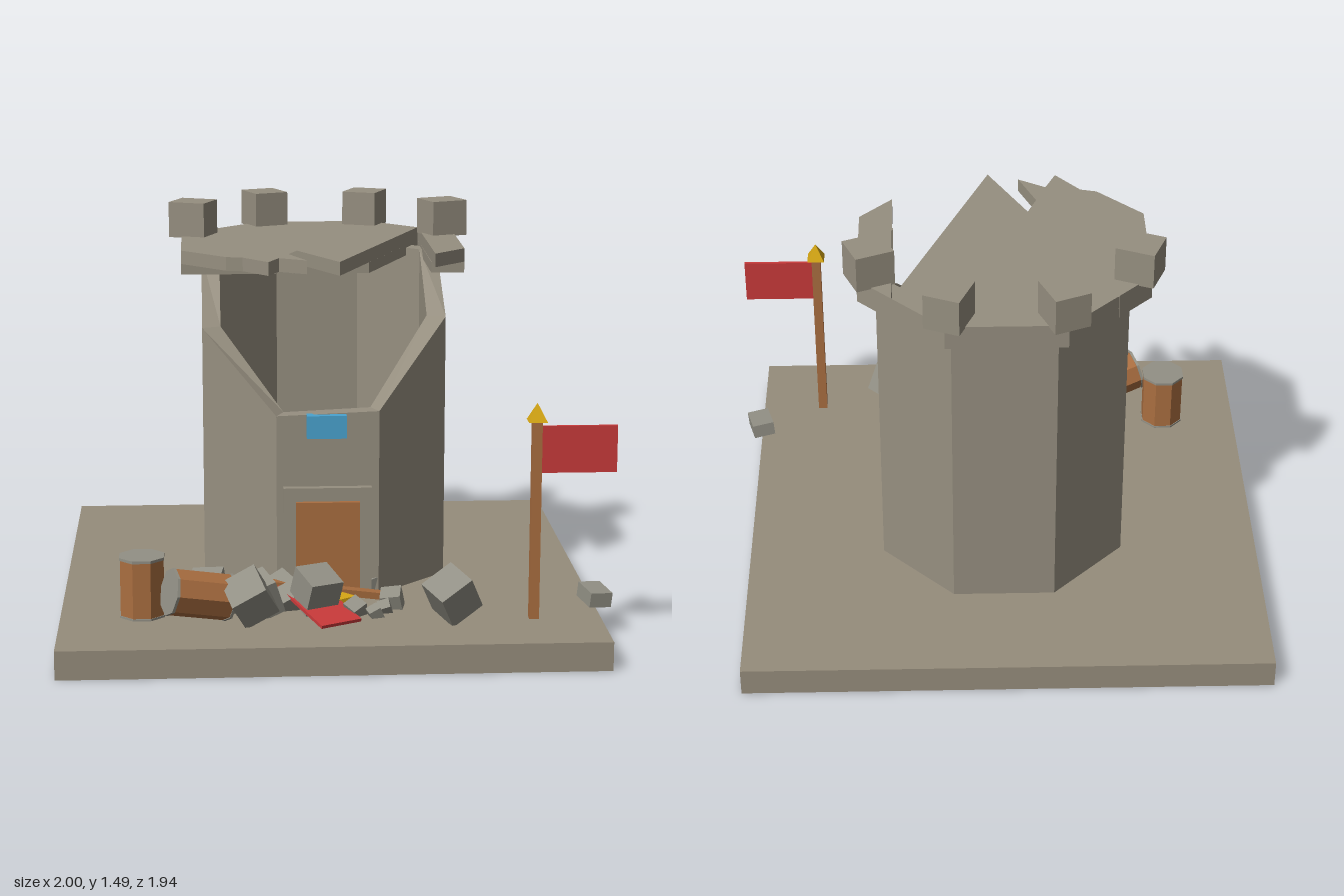
import * as THREE from 'three';

const mat = (name, color, side = THREE.FrontSide) => {
  const m = new THREE.MeshStandardMaterial({ color, side });
  m.name = name;
  return m;
};

// Faceted normals for low-poly round parts
const faceted = (g) => {
  const f = g.index ? g.toNonIndexed() : g;
  f.computeVertexNormals();
  return f;
};

const CX = -0.025, CZ = -0.1, GROUND = 0.105;

// Broken octagonal wall: every corner has its own height
function wallGeometry(heights, outer, inner) {
  const pos = [];
  const n = heights.length;
  const point = (k, r, y) => {
    const a = ((k % n) + 0.5) / n * Math.PI * 2;
    return [CX + r * Math.sin(a), y, CZ + r * Math.cos(a)];
  };
  const quad = (a, b, c, d) => pos.push(...a, ...b, ...c, ...a, ...c, ...d);
  for (let k = 0; k < n; k++) {
    const h0 = heights[k], h1 = heights[(k + 1) % n];
    const o0 = point(k, outer, h0), o1 = point(k + 1, outer, h1);
    const i0 = point(k, inner, h0), i1 = point(k + 1, inner, h1);
    quad(point(k, outer, GROUND), point(k + 1, outer, GROUND), o1, o0);
    quad(point(k + 1, inner, GROUND), point(k, inner, GROUND), i0, i1);
    quad(o0, o1, i1, i0);
  }
  const g = new THREE.BufferGeometry();
  g.setAttribute('position', new THREE.Float32BufferAttribute(pos, 3));
  g.computeVertexNormals();
  return g;
}

// Horizontal slab from an [x, z] outline
function slabGeometry(outline, y, height) {
  const shape = new THREE.Shape(outline.map(([x, z]) => new THREE.Vector2(x, -z)));
  return new THREE.ExtrudeGeometry(shape, { depth: height, bevelEnabled: false })
    .rotateX(-Math.PI / 2).translate(0, y, 0);
}

export function createModel() {
  const model = new THREE.Group();
  model.name = 'ruinedTower';
  const ground = mat('ground stone', 0x968d7c, THREE.DoubleSide);
  const stone = mat('tower stone', 0x968f80);
  const rubble = mat('rubble stone', 0x929085);
  const wood = mat('wood', 0xaa6e40);
  const red = mat('red cloth', 0xc93a3a);
  const blue = mat('window blue', 0x4aa3cf);
  const gold = mat('gold', 0xd4a514);

  const add = (name, geo, material, p = [0, 0, 0], r = [0, 0, 0], parent = model) => {
    const m = new THREE.Mesh(geo, material);
    m.name = name;
    m.position.set(...p);
    m.rotation.set(...r);
    parent.add(m);
    return m;
  };
  const box = (name, size, material, p, r) => add(name, new THREE.BoxGeometry(...size), material, p, r);

  // Ground slab, hollow underneath
  const base = new THREE.BoxGeometry(1.94, GROUND, 1.94);
  base.setIndex([...base.index.array].filter((_, i) => i < 18 || i >= 24));
  base.clearGroups();
  add('groundSlab', base, ground, [-0.03, GROUND / 2, 0]);

  // Tower wall, broken low at the front
  add('towerWall', wallGeometry([0.80, 1.10, 1.30, 1.30, 1.30, 1.28, 1.065, 0.785], 0.4925, 0.418), stone);

  // Cracked roof: a thin upper layer and a lower layer that has crumbled in front
  add('roofUpper', slabGeometry([
    [-0.245, -0.63], [0.185, -0.63], [0.495, -0.32], [0.495, 0.11], [0.375, 0.235], [0.37, -0.445],
    [0.015, 0.41], [-0.43, -0.45], [-0.1, 0.37], [-0.2, 0.31], [-0.24, 0.4], [-0.33, 0.29],
    [-0.39, 0.275], [-0.555, 0.11], [-0.555, -0.32],
  ], 1.31, 0.05), stone);
  add('roofLower', slabGeometry([
    [-0.245, -0.63], [0.185, -0.63], [0.495, -0.32], [0.495, 0.11], [0.372, 0.11], [0.37, -0.445],
    [0.14, 0.11], [-0.14, 0.11], [-0.43, -0.45], [-0.205, 0.11], [-0.555, 0.11], [-0.555, -0.32],
  ], 1.27, 0.04), stone);

  // Battlements on the four rear corners
  for (const deg of [112.5, 157.5, 202.5, 247.5]) {
    const a = THREE.MathUtils.degToRad(deg);
    box('battlement', [0.135, 0.135, 0.145], stone,
      [-0.03 + 0.52 * Math.sin(a), 1.422, -0.105 + 0.52 * Math.cos(a)], [0, a, 0]);
  }

  // Door and window
  box('doorFrame', [0.325, 0.415, 0.04], stone, [-0.027, 0.3125, 0.365]);
  box('door', [0.235, 0.365, 0.05], wood, [-0.027, 0.2875, 0.38]);
  box('window', [0.145, 0.085, 0.05], blue, [-0.03, 0.748, 0.361]);

  // Flagpole
  box('flagPole', [0.035, 0.73, 0.035], wood, [0.698, 0.47, 0.675]);
  add('poleTip', faceted(new THREE.ConeGeometry(0.047, 0.065, 4).rotateY(Math.PI / 4)), gold, [0.698, 0.863, 0.675]);
  box('flag', [0.27, 0.17, 0.012], red, [0.85, 0.727, 0.675]);

  // Barrels with stone-coloured lids
  const barrel = (p, axis, length) => {
    const g = new THREE.Group();
    g.name = 'barrel';
    add('barrelBody', faceted(new THREE.CylinderGeometry(0.084, 0.084, length, 8).rotateY(Math.PI / 8)),
      wood, [0, 0, 0], [0, 0, 0], g);
    for (const s of [-1, 1]) {
      add('barrelLid', faceted(new THREE.CylinderGeometry(0.087, 0.087, 0.01, 8).rotateY(Math.PI / 8)),
        rubble, [0, s * length / 2, 0], [0, 0, 0], g);
    }
    g.position.set(...p);
    g.quaternion.setFromUnitVectors(new THREE.Vector3(0, 1, 0), new THREE.Vector3(...axis).normalize());
    model.add(g);
  };
  barrel([-0.705, 0.215, 0.565], [0, 1, 0], 0.215);
  barrel([-0.5, 0.215, 0.69], [-0.22, 0.05, 0.08], 0.22);

  // Fallen blocks: x, y, z, size, rotations
  const blocks = [
    [0.4, 0.205, 0.705, 0.135, 0.3, 0.5, 0.4],
    [-0.32, 0.21, 0.71, 0.135, 0.5, 0.3, 0.4],
    [-0.08, 0.2, 0.595, 0.13, 0.4, 0.45, -0.2],
    [-0.47, 0.175, 0.49, 0.115, 0.3, -0.2, 0.15],
    [-0.29, 0.175, 0.59, 0.13, 0.2, 0.35, 0.3],
    [0.2, 0.13, 0.52, 0.075, 0.3, -0.15, 0.2],
    [-0.2, 0.16, 0.45, 0.09, 0.4, 0.6, 0.2],
    [-0.32, 0.14, 0.45, 0.07, 0.1, 0.5, 0.3],
    [-0.17, 0.15, 0.53, 0.08, 0.6, 0.2, 0.5],
    [0.13, 0.12, 0.635, 0.045, 0.2, 0.3, 0.4],
    [0.06, 0.13, 0.615, 0.06, 0.5, 0.7, 0.1],
    [0.12, 0.13, 0.33, 0.07, 0.1, 0.4, 0.2],
    [-0.52, 0.125, 0.53, 0.05, 0.4, 0.4, 0.1],
    [-0.4, 0.13, 0.56, 0.06, 0.2, 0.8, 0.3],
    [0.17, 0.12, 0.58, 0.045, 0.5, 0.1, 0.3],
  ];
  for (const [x, y, z, s, rx, ry, rz] of blocks) box('fallenBlock', [s, s, s], rubble, [x, y, z], [rx, ry, rz]);
  box('outlyingBlock', [0.085, 0.055, 0.12], rubble, [0.945, 0.138, 0.51], [0.1, 0.25, -0.1]);

  // Fallen plank, torn banner and its gold tip
  box('plank', [0.52, 0.025, 0.045], wood, [-0.085, 0.165, 0.465], [0, 0.13, -0.16]);
  box('splinter', [0.16, 0.02, 0.03], wood, [-0.2, 0.17, 0.43], [0, 0.5, 0.1]);
  const banner = box('fallenBanner', [0.165, 0.012, 0.36], red, [-0.08, 0.152, 0.58]);
  banner.rotation.set(0.22, 0.5, 0, 'YXZ');
  add('fallenTip', faceted(new THREE.ConeGeometry(0.045, 0.07, 4)), gold, [0.015, 0.14, 0.555], [0.9, 0.4, 0.6]);

  return model;
}
